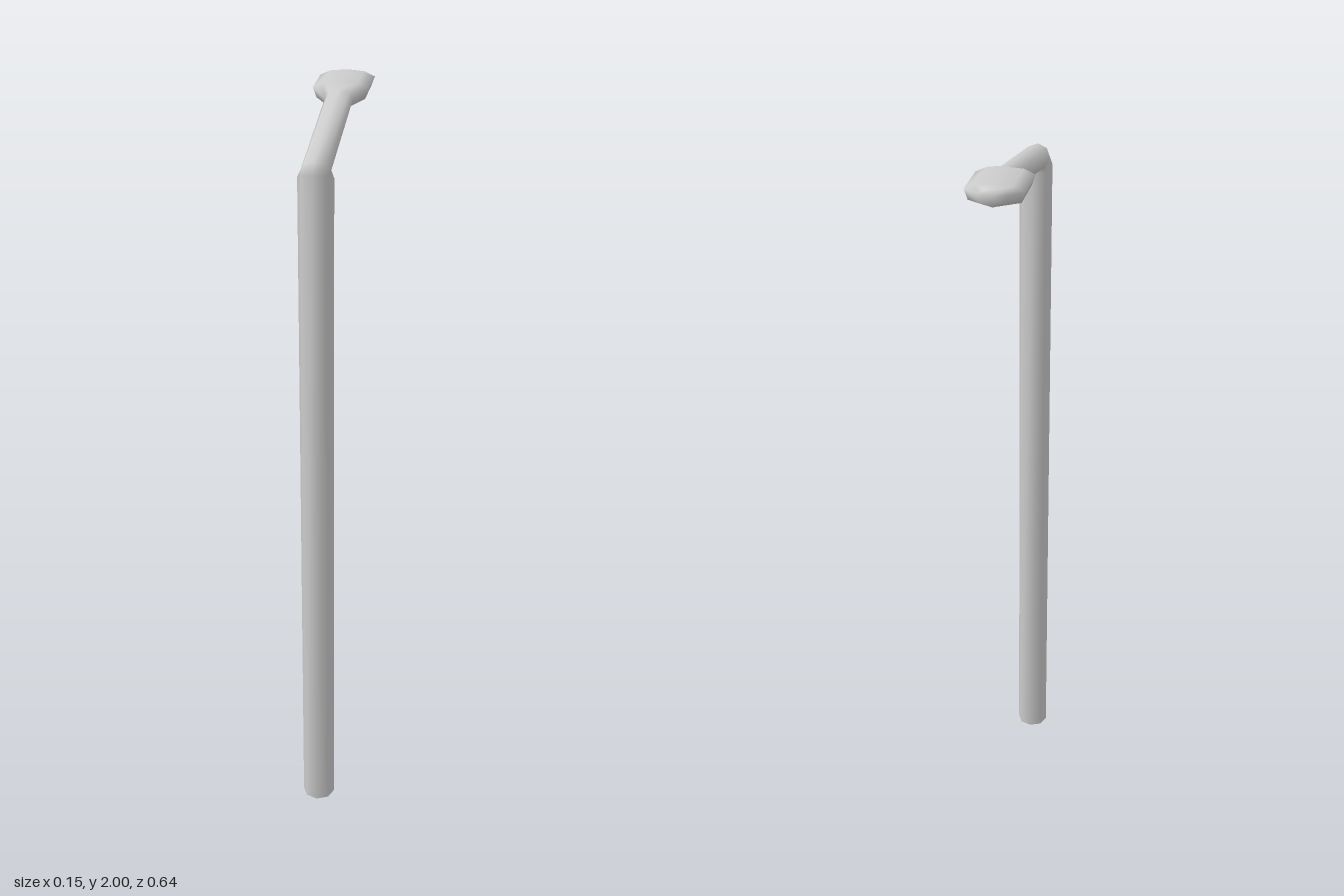
import * as THREE from 'three';

// Unit cross-sections: [across, towards the outer side], eight points each
const ROUND = Array.from({ length: 8 }, (_, i) => {
  const a = (i * Math.PI) / 4;
  return [Math.cos(a), Math.sin(a)];
});
const LAMP = [[1, 0.45], [0.6, 0.92], [0, 1], [-0.6, 0.92], [-1, 0.45], [-0.87, -0.5], [0, -1], [0.87, -0.5]];

// Rings along the lamp post: outer [y, z], inner [y, z], half width, section
const RINGS = [
  [[0, 0.32], [0, 0.23], 0.045, ROUND],
  [[1.895, 0.32], [1.86, 0.232], 0.045, ROUND],
  [[1.924, 0.304], [1.866, 0.235], 0.037, ROUND],
  [[1.991, -0.12], [1.937, -0.12], 0.037, ROUND],
  [[2.0, -0.16], [1.944, -0.16], 0.074, LAMP],
  [[2.0, -0.297], [1.945, -0.297], 0.074, LAMP],
  [[1.995, -0.322], [1.952, -0.322], 0.036, LAMP],
];

export function createModel() {
  const group = new THREE.Group();
  const material = new THREE.MeshStandardMaterial({ color: 0xcccccc, side: THREE.DoubleSide });
  const n = 8;

  const positions = [];
  for (const [outer, inner, width, section] of RINGS) {
    for (const [u, v] of section) {
      const t = (v + 1) / 2;
      positions.push(
        u * width,
        THREE.MathUtils.lerp(inner[0], outer[0], t),
        THREE.MathUtils.lerp(inner[1], outer[1], t)
      );
    }
  }
  positions.push(0, 1.974, -0.322); // centre of the end cap

  // Side faces between two rings
  const skin = (from, to) => {
    const index = [];
    for (let r = from; r < to; r++) {
      for (let j = 0; j < n; j++) {
        const a = r * n + j, b = r * n + ((j + 1) % n);
        index.push(a, a + n, b, b, a + n, b + n);
      }
    }
    return index;
  };
  const last = RINGS.length - 1;
  const cap = [];
  for (let j = 0; j < n; j++) cap.push(last * n + j, RINGS.length * n, last * n + ((j + 1) % n));

  const parts = {
    pole: skin(0, 1),
    arm: skin(1, 3),
    lampHead: [...skin(3, last), ...cap],
  };

  // Normals are shared by the whole skin so the parts blend smoothly
  const whole = new THREE.BufferGeometry();
  whole.setAttribute('position', new THREE.Float32BufferAttribute(positions, 3));
  whole.setIndex(Object.values(parts).flat());
  whole.computeVertexNormals();

  for (const [name, index] of Object.entries(parts)) {
    const used = [...new Set(index)];
    const geometry = new THREE.BufferGeometry();
    for (const key of ['position', 'normal']) {
      const src = whole.getAttribute(key);
      const data = used.flatMap((i) => [src.getX(i), src.getY(i), src.getZ(i)]);
      geometry.setAttribute(key, new THREE.Float32BufferAttribute(data, 3));
    }
    geometry.setIndex(index.map((i) => used.indexOf(i)));
    const mesh = new THREE.Mesh(geometry, material);
    mesh.name = name;
    group.add(mesh);
  }
  return group;
}
